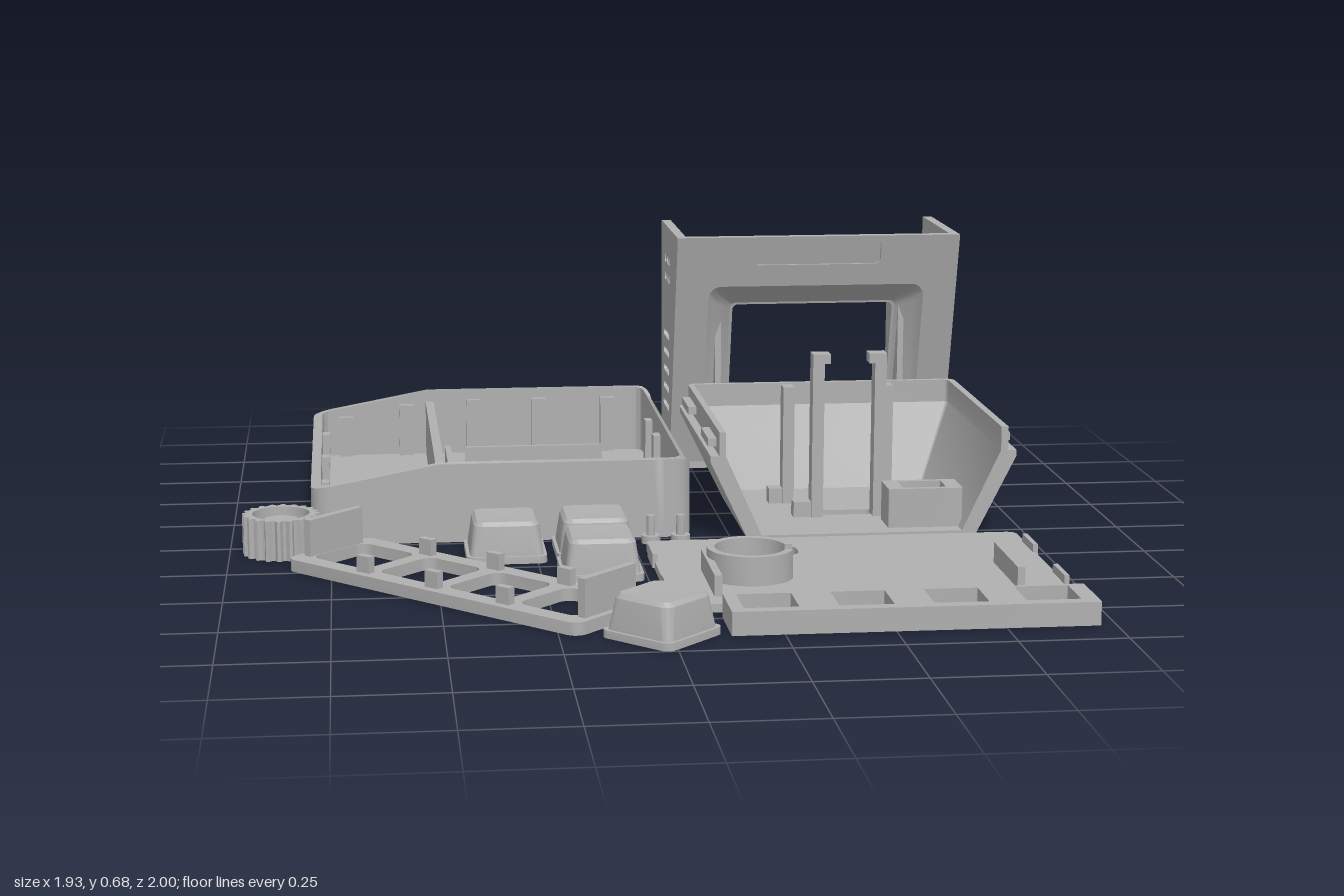
import * as THREE from 'three';
import { toCreasedNormals } from 'three/addons/utils/BufferGeometryUtils.js';

const grey = new THREE.MeshStandardMaterial({ color: 0xb0b0b0, side: THREE.DoubleSide });
grey.name = 'grey plastic';

// Corner points of a rounded rectangle, always the same number
function ringPoints(x0, y0, x1, y1, r, steps = 6) {
  const pts = [];
  const corners = [[x1 - r, y0 + r], [x1 - r, y1 - r], [x0 + r, y1 - r], [x0 + r, y0 + r]];
  corners.forEach(([cx, cy], i) => {
    for (let j = 0; j <= steps; j++) {
      const a = (i - 1 + j / steps) * Math.PI / 2;
      pts.push(new THREE.Vector2(cx + r * Math.cos(a), cy + r * Math.sin(a)));
    }
  });
  return pts;
}
// Rounded rectangle spanning x0..x1, y0..y1
function rounded(x0, y0, x1, y1, r = 0.02, Type = THREE.Shape) {
  const s = new Type(ringPoints(x0, y0, x1, y1, r));
  s.closePath();
  return s;
}
function withHoles(shape, ...holes) {
  shape.holes.push(...holes);
  return shape;
}
const extrude = (shape, depth) =>
  new THREE.ExtrudeGeometry(shape, { depth, bevelEnabled: false, curveSegments: 24 });
// Plan shape (x, z) raised from y0 by h
const slab = (shape, y0, h) => extrude(shape, h).rotateX(Math.PI / 2).translate(0, y0 + h, 0);

function add(group, name, geometry) {
  const mesh = new THREE.Mesh(toCreasedNormals(geometry, 0.5), grey);
  mesh.name = name;
  group.add(mesh);
  return mesh;
}
// Box given by its limits
function box(group, name, x0, x1, y0, y1, z0, z1) {
  const g = new THREE.BoxGeometry(x1 - x0, y1 - y0, z1 - z0);
  return add(group, name, g.translate((x0 + x1) / 2, (y0 + y1) / 2, (z0 + z1) / 2));
}
// Skin through rings of points
function loft(rings, closed = true) {
  const pos = [], n = rings[0].length;
  for (let i = 0; i < rings.length - 1; i++) {
    for (let j = 0; j < (closed ? n : n - 1); j++) {
      const k = (j + 1) % n;
      const a = rings[i][j], b = rings[i][k], c = rings[i + 1][k], d = rings[i + 1][j];
      pos.push(...a, ...b, ...c, ...a, ...c, ...d);
    }
  }
  const g = new THREE.BufferGeometry();
  g.setAttribute('position', new THREE.Float32BufferAttribute(pos, 3));
  g.computeVertexNormals();
  return g;
}
function part(root, name) {
  const g = new THREE.Group();
  g.name = name;
  root.add(g);
  return g;
}

function buildTray(g) {
  const rim = x => {
    if (x < -0.48) return 0.14 + (x + 0.8) / 0.32 * 0.06;
    return x > 0.125 ? 0.17 + Math.sqrt(Math.max(0, 0.0009 - (x - 0.125) ** 2)) : 0.2;
  };
  // Walls whose top follows the sloping rim
  const outer = rounded(-0.8, -1, 0.155, -0.015, 0.05).getSpacedPoints(240);
  const inner = rounded(-0.775, -0.975, 0.13, -0.04, 0.03).getSpacedPoints(240);
  const walls = slab(withHoles(new THREE.Shape(outer), new THREE.Path(inner)), 0, 0.2);
  const p = walls.attributes.position;
  for (let i = 0; i < p.count; i++) if (p.getY(i) > 0.1) p.setY(i, rim(p.getX(i)));
  walls.computeVertexNormals();
  add(g, 'trayWalls', walls);
  add(g, 'trayFloor', slab(rounded(-0.79, -0.99, 0.145, -0.025, 0.045), 0, 0.02));
  box(g, 'trayDivider', -0.485, -0.462, 0.02, 0.17, -0.98, -0.035);
  box(g, 'lowRib', -0.44, -0.425, 0.02, 0.09, -0.75, -0.27);
  for (const z of [-0.865, -0.15]) box(g, 'floorRib', -0.38, 0.005, 0.02, 0.06, z - 0.007, z + 0.007);
  // Clip ribs round the inside
  for (const x of [-0.71, -0.54, -0.35, -0.165, 0.03]) {
    const h = rim(x) - 0.025;
    box(g, 'clipRib', x - 0.02, x + 0.02, 0.02, h, -0.98, -0.955);
    box(g, 'clipRib', x - 0.02, x + 0.02, 0.02, h, -0.06, -0.035);
  }
  for (const z of [-0.8, -0.51, -0.21]) box(g, 'clipRib', -0.78, -0.755, 0.02, 0.12, z - 0.02, z + 0.02);
  for (const z of [-0.71, -0.51, -0.2]) box(g, 'clipRib', 0.11, 0.135, 0.02, 0.16, z - 0.02, z + 0.02);
}

function buildBezel(g) {
  const lean = 0.18 / 0.675;
  // Front parts lean forward with height
  const front = (name, geo) => {
    const p = geo.attributes.position;
    for (let i = 0; i < p.count; i++) p.setZ(i, p.getZ(i) - 0.8 + p.getY(i) * lean);
    geo.computeVertexNormals();
    return add(g, name, geo);
  };
  const big = [0.28, 0.11, 0.875, 0.535], small = [0.355, 0.165, 0.8, 0.475];
  front('bezelFront', extrude(withHoles(rounded(0.19, 0, 0.965, 0.675, 0.004),
    rounded(...big, 0.035, THREE.Path), rounded(0.4, 0.595, 0.75, 0.66, 0.015, THREE.Path)), 0.03).translate(0, 0, -0.03));
  const ring = (r, c, z) => ringPoints(...r, c).map(q => [q.x, q.y, z]);
  front('windowFunnel', loft([ring(big, 0.035, 0), ring([0.3, 0.13, 0.855, 0.515], 0.03, -0.02), ring(small, 0.015, -0.055)]));
  front('screenFrame', extrude(withHoles(rounded(0.25, 0.1, 0.92, 0.55, 0.02),
    rounded(...small, 0.015, THREE.Path)), 0.02).translate(0, 0, -0.07));
  front('topRecess', extrude(rounded(0.395, 0.59, 0.755, 0.665, 0.015), 0.008).translate(0, 0, -0.02));
  front('smallMark', extrude(rounded(0.825, 0.615, 0.855, 0.627, 0.005), 0.004));
  // Side walls: round port on one, vents on the other
  const side = () => new THREE.Shape([[-1, 0], [-0.802, 0], [-0.622, 0.675], [-1, 0.675]]
    .map(q => new THREE.Vector2(...q)));
  const port = new THREE.Path().absarc(-0.87, 0.41, 0.05, 0, Math.PI * 2);
  const vents = [];
  for (let i = 0; i < 5; i++) vents.push(rounded(-0.94, 0.16 + i * 0.05, -0.81, 0.178 + i * 0.05, 0.008, THREE.Path));
  for (let i = 0; i < 6; i++) {
    const z = -0.92 + (i % 3) * 0.045, y = 0.52 + Math.floor(i / 3) * 0.05;
    vents.push(rounded(z, y, z + 0.025, y + 0.025, 0.008, THREE.Path));
  }
  const wall = (name, shape, x) => add(g, name, extrude(shape, 0.025).rotateY(-Math.PI / 2).translate(x, 0, 0));
  wall('portWall', withHoles(side(), port), 0.965);
  wall('ventWall', withHoles(side(), ...vents), 0.215);
  box(g, 'bezelFloor', 0.2, 0.955, 0, 0.025, -1, -0.795);
  box(g, 'floorCatch', 0.49, 0.66, 0.025, 0.035, -0.975, -0.96);
  for (const x of [0.315, 0.825]) box(g, 'screenGuide', x - 0.008, x + 0.008, 0.1, 0.5, -0.89, -0.72);
}

function buildFunnel(g) {
  // U-shaped rings, open towards the front
  const u = (x0, x1, z, y, r) => {
    const back = ringPoints(x0, z, x1, 0.075, r, 4);
    const corners = [...back.slice(15), ...back.slice(0, 5)].map(q => [q.x, y, q.y]);
    return [[x0, y, 0.075], ...corners, [x1, y, 0.075]];
  };
  const rings = [u(0.29, 0.86, -0.43, 0, 0.01), u(0.19, 0.965, -0.595, 0.21, 0.035), u(0.19, 0.965, -0.595, 0.225, 0.035),
    u(0.212, 0.943, -0.573, 0.225, 0.025), u(0.212, 0.943, -0.573, 0.285, 0.025), u(0.228, 0.925, -0.557, 0.285, 0.012),
    u(0.228, 0.925, -0.557, 0.225, 0.012), u(0.32, 0.83, -0.435, 0.02, 0.008)];
  add(g, 'funnelWalls', loft(rings, false));
  // Cut ends of the two side walls
  for (const end of [0, rings[0].length - 1]) {
    add(g, 'wallEnd', extrude(new THREE.Shape(rings.map(r => new THREE.Vector2(r[end][0], r[end][1]))), 0.002).translate(0, 0, 0.073));
  }
  add(g, 'funnelFloor', slab(withHoles(rounded(0.29, -0.43, 0.86, 0.075, 0.005),
    rounded(0.51, -0.175, 0.64, -0.125, 0.01, THREE.Path), rounded(0.7, -0.05, 0.79, 0.005, 0.008, THREE.Path)), 0, 0.02));
  add(g, 'switchHousing', slab(withHoles(rounded(0.65, -0.07, 0.84, 0.03, 0.004),
    rounded(0.69, -0.055, 0.8, 0.015, 0.004, THREE.Path)), 0.02, 0.1));
  // Mirrored board posts with hooks
  for (const s of [-1, 1]) {
    const bar = (name, a, b, y0, y1, z0, z1) => {
      const x = [0.57 + s * a, 0.57 + s * b].sort((m, n) => m - n);
      box(g, name, ...x, y0, y1, z0, z1);
    };
    bar('tallPost', 0.065, 0.095, 0.02, 0.445, -0.145, -0.1);
    bar('tallPostHook', 0.05, 0.065, 0.42, 0.445, -0.145, -0.1);
    bar('tallPostFoot', 0.095, 0.14, 0.02, 0.06, -0.145, -0.105);
    bar('shortPost', 0.115, 0.145, 0.02, 0.33, -0.305, -0.26);
    bar('shortPostFoot', 0.145, 0.18, 0.02, 0.06, -0.305, -0.265);
    for (const z of [-0.49, -0.09]) bar('sideTab', 0.362, 0.383, 0.245, 0.265, z, z + 0.14);
  }
  box(g, 'backTab', 0.49, 0.65, 0.245, 0.265, -0.588, -0.57);
}

function buildPlate(g) {
  add(g, 'coverPlate', slab(withHoles(rounded(0.025, 0.1, 0.96, 0.7, 0.025),
    rounded(0.22, 0.185, 0.385, 0.275, 0.03, THREE.Path)), 0, 0.02));
  // Ring with a gap
  const c = new THREE.Shape().absarc(0, 0, 0.103, 0.35, Math.PI * 2 - 0.15);
  c.absarc(0, 0, 0.085, Math.PI * 2 - 0.15, 0.35, true);
  add(g, 'plateRing', slab(c, 0.02, 0.07).translate(0.235, 0, 0.455));
  for (const x of [0.135, 0.845]) box(g, 'plateRail', x - 0.009, x + 0.009, 0.02, 0.07, 0.395, 0.635);
  for (const x of [0.025, 0.96]) for (const z of [0.2, 0.5]) box(g, 'plateTab', x - 0.006, x + 0.006, 0.005, 0.04, z, z + 0.11);
}

function buildButtonFrame(g) {
  const holes = [-0.33, -0.11, 0.11, 0.33].map(x => rounded(x - 0.09, -0.09, x + 0.09, 0.09, 0.03, THREE.Path));
  add(g, 'buttonFrame', slab(withHoles(rounded(-0.46, -0.137, 0.46, 0.137, 0.03), ...holes), 0, 0.03));
  for (const x of [-0.432, 0.432]) box(g, 'endWall', x - 0.01, x + 0.01, 0.03, 0.12, -0.09, 0.09);
  for (const x of [-0.22, 0, 0.22]) for (const z of [-0.107, 0.107]) {
    box(g, 'framePeg', x - 0.02, x + 0.02, 0.03, 0.07, z - 0.01, z + 0.01);
  }
  g.position.set(-0.438, 0, 0.447);
  g.rotation.y = -Math.PI / 4;
}

function buildButton(g) {
  const ring = (w, y, r) => ringPoints(-w, -w, w, w, r).map(q => [q.x, y, q.y]);
  add(g, 'buttonCap', loft([ring(0.001, 0, 0.0005), ring(0.098, 0, 0.02), ring(0.098, 0.018, 0.02), ring(0.09, 0.018, 0.02),
    ring(0.08, 0.09, 0.025), ring(0.072, 0.1, 0.02), ring(0.001, 0.096, 0.0005)]));
}

function buildKnob(g) {
  const pts = [];
  for (let i = 0; i < 80; i++) {
    const a = i / 80 * Math.PI * 2, r = i % 4 < 2 ? 0.095 : 0.085;
    pts.push(new THREE.Vector2(r * Math.cos(a), r * Math.sin(a)));
  }
  const bore = new THREE.Path().absarc(0, 0, 0.07, 0, Math.PI * 2);
  add(g, 'knobGrip', slab(withHoles(new THREE.Shape(pts), bore), 0, 0.1));
  add(g, 'knobBase', new THREE.CylinderGeometry(0.08, 0.08, 0.02, 32).translate(0, 0.01, 0));
  add(g, 'knobHub', new THREE.CylinderGeometry(0.045, 0.045, 0.07, 6).translate(0, 0.05, 0));
  g.position.set(-0.873, 0, 0.045);
}

export function createModel() {
  const root = new THREE.Group();
  root.name = 'enclosureKit';
  buildTray(part(root, 'tray'));
  buildBezel(part(root, 'screenBezel'));
  buildFunnel(part(root, 'funnelBody'));
  buildPlate(part(root, 'cover'));
  const windows = [0.16, 0.375, 0.59, 0.8].map(x => rounded(x, 0.748, x + 0.125, 0.865, 0.003, THREE.Path));
  add(root, 'holeStrip', slab(withHoles(rounded(0.13, 0.737, 0.965, 0.895, 0.003), ...windows), 0, 0.055));
  buildButtonFrame(part(root, 'diagonalFrame'));
  buildKnob(part(root, 'knob'));
  for (const [x, z, turn] of [[-0.325, 0.12, 0], [-0.105, 0.108, 0], [-0.108, 0.315, 0], [-0.022, 0.87, Math.PI / 4]]) {
    const b = part(root, 'button');
    buildButton(b);
    b.position.set(x, 0, z);
    b.rotation.y = turn;
  }
  // Small loose pegs
  for (const x of [0.045, 0.12]) {
    add(root, 'pegHead', new THREE.CylinderGeometry(0.024, 0.024, 0.02, 20).translate(x, 0.01, 0.038));
    add(root, 'pegStem', new THREE.CylinderGeometry(0.011, 0.011, 0.05, 16).translate(x, 0.045, 0.038));
  }
  return root;
}
